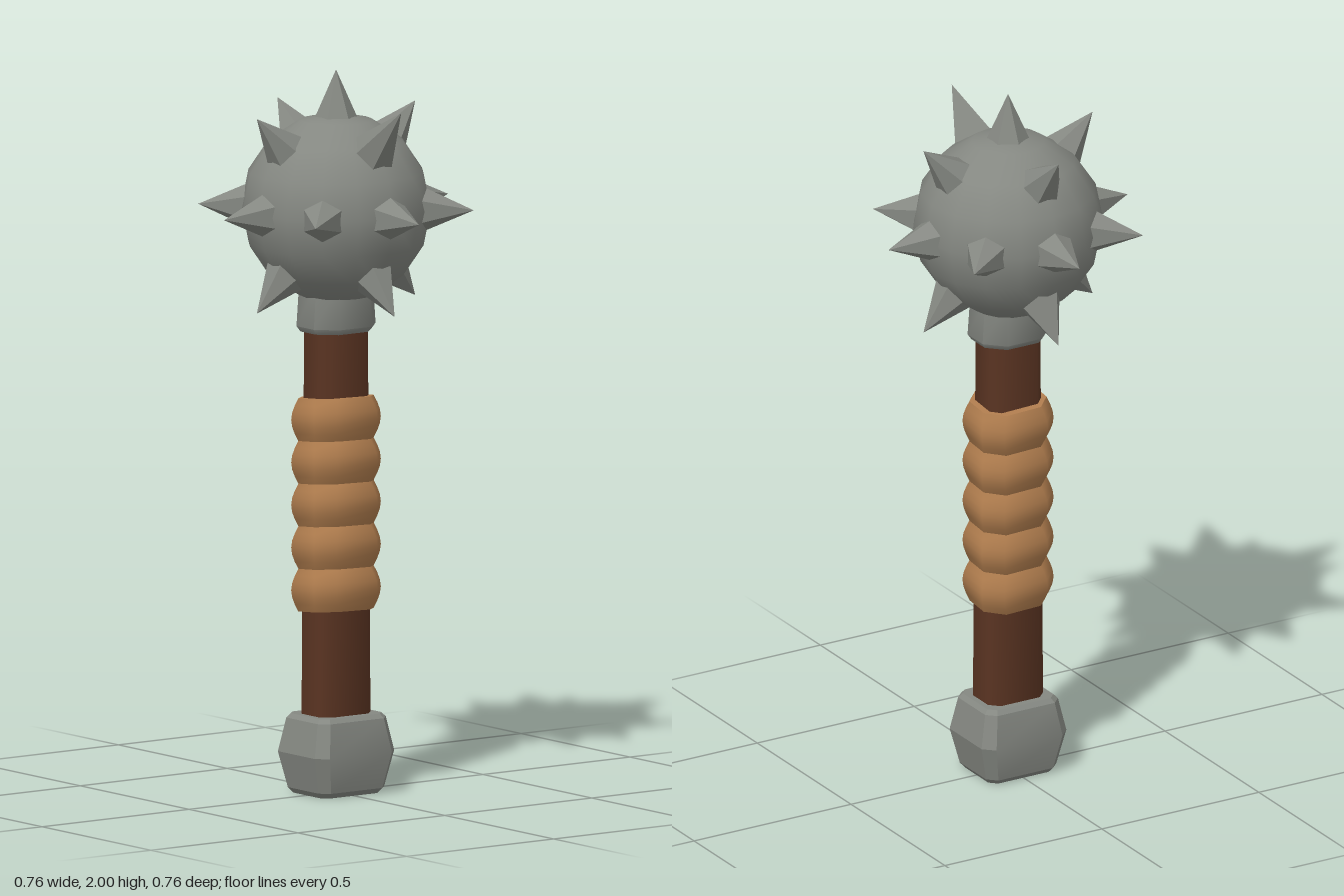
import * as THREE from 'three';
import { toCreasedNormals } from 'three/addons/utils/BufferGeometryUtils.js';

const material = (name, color) => {
  const m = new THREE.MeshStandardMaterial({ color });
  m.name = name;
  return m;
};

// Lofts bevelled rectangles: each level is [y, half width, half depth, bevel]
function loft(levels, crease, tilt = () => 0) {
  const pos = [], idx = [];
  for (const [y, w, d, b] of levels) {
    const ring = [[w, -d + b], [w, d - b], [w - b, d], [-w + b, d],
      [-w, d - b], [-w, -d + b], [-w + b, -d], [w - b, -d]];
    for (const [x, z] of ring) pos.push(x, y + tilt(x, z), z);
  }
  const last = (levels.length - 1) * 8;
  for (let r = 0; r < last; r += 8) {
    for (let k = 0; k < 8; k++) {
      const a = r + k, b = r + (k + 1) % 8;
      idx.push(a, a + 8, b, b, a + 8, b + 8);
    }
  }
  for (let k = 1; k < 7; k++) {
    idx.push(0, k, k + 1, last, last + k + 1, last + k);
  }
  const g = new THREE.BufferGeometry();
  g.setAttribute('position', new THREE.Float32BufferAttribute(pos, 3));
  g.setIndex(idx);
  return toCreasedNormals(g, crease);
}

export function createModel() {
  const metal = material('grey metal', 0x858882);
  const wood = material('dark wood', 0x5a3422);
  const leather = material('tan leather', 0xb07d4e);
  const model = new THREE.Group();
  model.name = 'spikedMace';

  const add = (name, geometry, mat, parent = model) => {
    const mesh = new THREE.Mesh(geometry, mat);
    mesh.name = name;
    parent.add(mesh);
    return mesh;
  };

  // Handle, slightly tapered towards the head
  add('handle', loft([[0.18, 0.088, 0.066, 0.026], [1.32, 0.08, 0.062, 0.024]], 0.9), wood);

  // Pommel, bulging at mid height with chamfered ends
  add('pommel', loft([
    [0, 0.1, 0.082, 0.02], [0.015, 0.112, 0.095, 0.025], [0.115, 0.135, 0.115, 0.03],
    [0.208, 0.116, 0.097, 0.025], [0.22, 0.105, 0.086, 0.02],
  ], 0.4), metal);

  // Collar under the head
  add('collar', loft([
    [1.28, 0.095, 0.08, 0.045], [1.295, 0.105, 0.09, 0.05], [1.42, 0.096, 0.084, 0.045],
  ], 0.9), metal);

  // Leather grip: five bulging, slightly tilted bands
  const grip = new THREE.Group();
  grip.name = 'grip';
  model.add(grip);
  const bands = 5, bottom = 0.505, height = 0.118;
  for (let i = 0; i < bands; i++) {
    const levels = [];
    for (let j = 0; j <= 6; j++) {
      const t = j / 6, s = 0.014 * Math.sin(Math.PI * t);
      levels.push([bottom + (i + t) * height, 0.1 + s, 0.083 + s, 0.045]);
    }
    add('gripBand', loft(levels, 0.9, (x, z) => 0.09 * z - 0.03 * x), leather, grip);
  }

  // Round head
  const head = new THREE.Group();
  head.name = 'head';
  head.position.y = 1.62;
  model.add(head);
  add('ball', new THREE.SphereGeometry(0.262, 16, 8), metal, head);

  // Six-sided spikes along every axis and diagonal, except into the handle
  const base = 0.2;
  for (let x = -1; x <= 1; x++) for (let y = -1; y <= 1; y++) for (let z = -1; z <= 1; z++) {
    const count = Math.abs(x) + Math.abs(y) + Math.abs(z);
    if (count === 0 || count === 3 || (count === 1 && y === -1)) continue;
    const tip = x === 0 && y === 1 && z === 1 ? 0.424 : 0.381;
    const dir = new THREE.Vector3(x, y, z).normalize();
    const edge = new THREE.Vector3();
    if (y === 0) edge.y = 1;
    else if (z === 0) edge.z = 1;
    else edge.x = 1;
    const side = new THREE.Vector3().crossVectors(dir, edge);
    const cone = new THREE.ConeGeometry(0.08, tip - base, 6).toNonIndexed();
    cone.translate(0, (tip + base) / 2, 0);
    cone.applyMatrix4(new THREE.Matrix4().makeBasis(side, dir, edge));
    cone.computeVertexNormals();
    add('spike', cone, metal, head);
  }
  return model;
}
